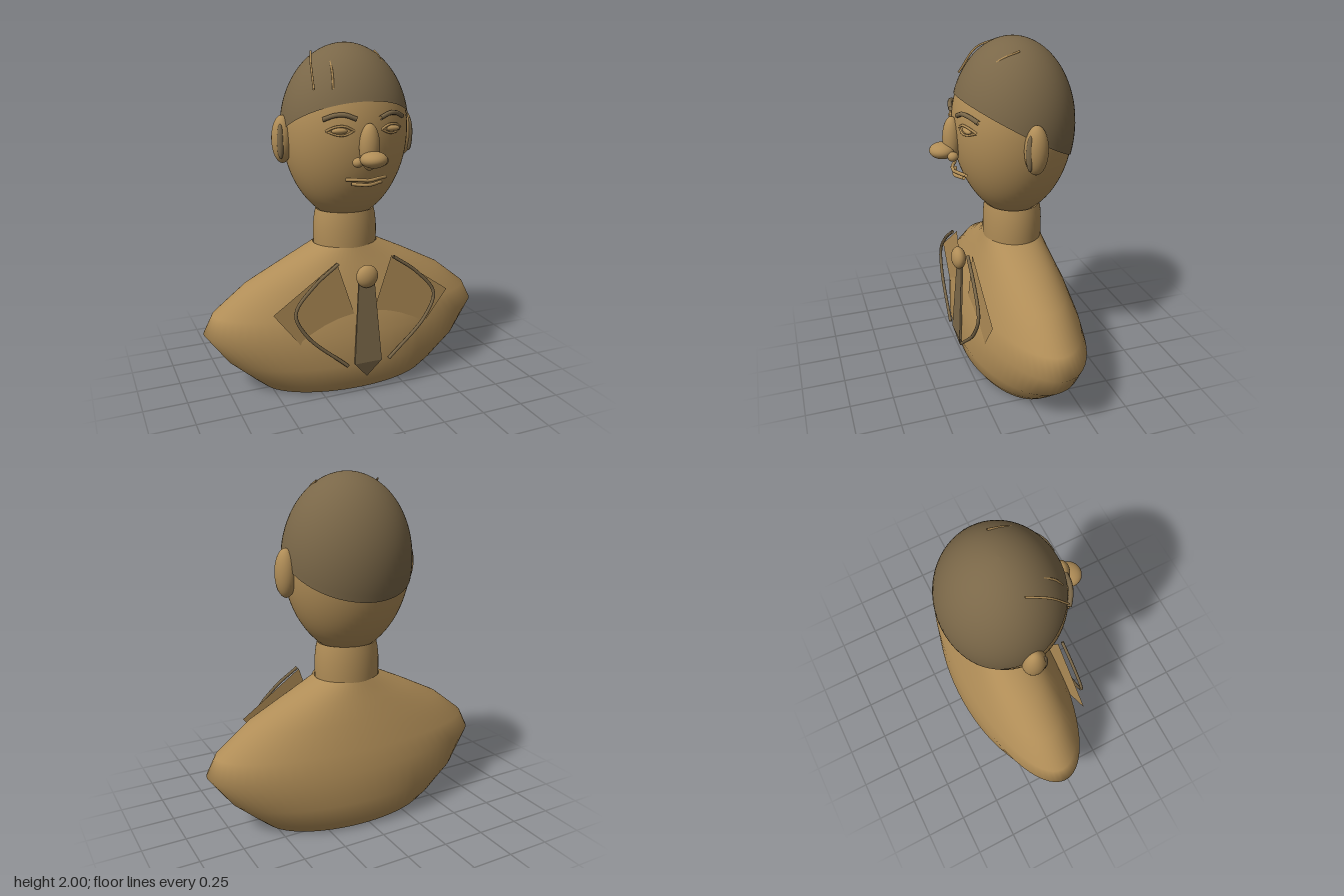
import * as THREE from 'three';

const bronze = new THREE.MeshStandardMaterial({ color: 0xb08d57 });
bronze.name = 'bronze';
bronze.side = THREE.DoubleSide;
const darkBronze = new THREE.MeshStandardMaterial({ color: 0x7a6748 });
darkBronze.name = 'dark bronze';
darkBronze.side = THREE.DoubleSide;

const CZ = -0.063; // depth of the body's vertical axis

function add(group, name, geometry, material = bronze) {
  const mesh = new THREE.Mesh(geometry, material);
  mesh.name = name;
  group.add(mesh);
  return mesh;
}

// Closed skin around the y axis; point(angle, row) returns [x, y, z], rows run upwards
function skin(point, rows, segments = 64) {
  const positions = [], index = [];
  for (let i = 0; i <= rows; i++) {
    for (let j = 0; j < segments; j++) {
      positions.push(...point((j / segments) * Math.PI * 2, i));
      if (i === rows) continue;
      const k = (j + 1) % segments;
      const a = i * segments + j, b = i * segments + k;
      index.push(a, b, a + segments, b, b + segments, a + segments);
    }
  }
  const g = new THREE.BufferGeometry();
  g.setAttribute('position', new THREE.Float32BufferAttribute(positions, 3));
  g.setIndex(index);
  g.computeVertexNormals();
  return g;
}

// Stack of ellipses given as [y, half width, half depth]
const loft = (rings) => skin((a, i) => {
  const [y, rx, rz] = rings[i];
  return [rx * Math.sin(a), y, CZ + rz * Math.cos(a)];
}, rings.length - 1);

function ellipsoid(group, name, center, radii, material) {
  const mesh = add(group, name, new THREE.SphereGeometry(1, 32, 20), material);
  mesh.position.set(...center);
  mesh.scale.set(...radii);
  return mesh;
}

function tube(group, name, points, radius, material) {
  const curve = new THREE.CatmullRomCurve3(points.map((p) => new THREE.Vector3(...p)));
  add(group, name, new THREE.TubeGeometry(curve, 32, radius, 8), material);
}

// Egg-shaped skull: half width at height y
function headRadius(y) {
  const t = y > 1.52 ? (y - 1.52) / 0.473 : (1.52 - y) / 0.54;
  return 0.367 * Math.pow(Math.max(0, 1 - t * t), y > 1.52 ? 0.5 : 0.55);
}

function buildHead(group) {
  const rings = [];
  for (let i = 0; i <= 40; i++) {
    const s = -Math.cos((i / 40) * Math.PI);
    const y = 1.52 + s * (s > 0 ? 0.473 : 0.54);
    const r = headRadius(y);
    rings.push([y, r, r * 0.93]);
  }
  add(group, 'head', loft(rings));

  // Hair cap, cut along a plane that falls towards the back
  const hair = skin((a, i) => {
    let rim = 1.55;
    for (let n = 0; n < 12; n++) rim = 1.553 + 0.567 * (CZ + 0.93 * headRadius(rim) * Math.cos(a));
    const y = rim + (1.993 - rim) * Math.sin((i / 28) * Math.PI / 2);
    const r = headRadius(y) * 1.02;
    return [r * Math.sin(a), y + 0.007 * (i / 28), CZ + 0.93 * r * Math.cos(a)];
  }, 28);
  add(group, 'hair', hair, darkBronze);

  // Loose hair strands
  [
    [[-0.21, 1.95, -0.04], [-0.25, 1.9, 0.07], [-0.27, 1.76, 0.17]],
    [[-0.145, 1.9, 0.09], [-0.157, 1.84, 0.15], [-0.168, 1.76, 0.19]],
    [[0.175, 1.95, -0.04], [0.165, 1.91, 0.06], [0.135, 1.82, 0.165]],
  ].forEach((p) => tube(group, 'hairStrand', p, 0.006));

  // Nose
  ellipsoid(group, 'noseBridge', [0, 1.457, 0.29], [0.057, 0.128, 0.052]);
  ellipsoid(group, 'noseTip', [0, 1.397, 0.345], [0.075, 0.045, 0.073]);

  // Lips
  tube(group, 'upperLip', [[-0.12, 1.278, 0.245], [-0.05, 1.278, 0.278], [0, 1.273, 0.285],
    [0.05, 1.278, 0.278], [0.12, 1.278, 0.245]], 0.01);
  tube(group, 'lowerLip', [[-0.09, 1.253, 0.25], [0, 1.247, 0.28], [0.09, 1.253, 0.25]], 0.01);

  for (const s of [-1, 1]) {
    ellipsoid(group, 'nostril', [s * 0.075, 1.38, 0.305], [0.029, 0.027, 0.03]);
    ellipsoid(group, 'ear', [s * 0.377, 1.473, -0.065], [0.06, 0.135, 0.065]);
    ellipsoid(group, 'innerEar', [s * 0.4, 1.465, -0.022], [0.02, 0.098, 0.022], darkBronze);

    // Eyes, lids and brows
    ellipsoid(group, 'eyeball', [s * 0.15, 1.545, 0.243], [0.052, 0.018, 0.022]);
    tube(group, 'upperEyelid', [[s * 0.22, 1.543, 0.21], [s * 0.18, 1.567, 0.245],
      [s * 0.13, 1.569, 0.262], [s * 0.08, 1.545, 0.267]], 0.007);
    tube(group, 'lowerEyelid', [[s * 0.22, 1.543, 0.21], [s * 0.17, 1.524, 0.25],
      [s * 0.13, 1.524, 0.264], [s * 0.08, 1.545, 0.267]], 0.006);
    tube(group, 'eyebrow', [[s * 0.235, 1.605, 0.205], [s * 0.18, 1.628, 0.242],
      [s * 0.13, 1.63, 0.262], [s * 0.07, 1.608, 0.275]], 0.013, darkBronze);
  }
}

function buildBust(group) {
  // Open-bottomed torso and neck
  add(group, 'torso', loft([
    [0, 0.53, 0.275], [0.06, 0.6, 0.314], [0.19, 0.745, 0.352], [0.37, 0.875, 0.328],
    [0.48, 0.82, 0.298], [0.63, 0.63, 0.25], [0.75, 0.395, 0.202], [0.845, 0.195, 0.167],
  ]));
  add(group, 'neck', loft([
    [0.82, 0.188, 0.168], [0.88, 0.192, 0.171], [0.95, 0.191, 0.17], [1.01, 0.184, 0.166], [1.05, 0.175, 0.16],
  ]));

  // Flat lapels with a raised edge
  for (const s of [-1, 1]) {
    const outline = [[0.17, 0.81], [0.545, 0.55], [0.385, 0.34], [0.13, 0.2], [0.06, 0.48]];
    const shape = new THREE.Shape(outline.map(([x, y]) => new THREE.Vector2(s * x, y)));
    add(group, 'lapel', new THREE.ShapeGeometry(shape)).position.z = 0.232;
    tube(group, 'lapelEdge', [[s * 0.17, 0.81, 0.26], [s * 0.32, 0.7, 0.268], [s * 0.43, 0.56, 0.277],
      [s * 0.37, 0.42, 0.287], [s * 0.13, 0.2, 0.3]], 0.01, darkBronze);
  }

  // Tie blade leaning out over the chest, with its knot
  const blade = new THREE.Shape([[-0.085, 0.2], [0, 0.1], [0.085, 0.2], [0.048, 0.69], [-0.048, 0.69]]
    .map(([x, y]) => new THREE.Vector2(x, y)));
  const tie = new THREE.ExtrudeGeometry(blade, { depth: 0.012, bevelEnabled: false });
  const p = tie.attributes.position;
  for (let i = 0; i < p.count; i++) {
    const y = p.getY(i);
    p.setZ(i, p.getZ(i) + (y < 0.15 ? 0.264 : 0.255 + (0.69 - y) * 0.067));
  }
  tie.computeVertexNormals();
  add(group, 'tie', tie, darkBronze);
  ellipsoid(group, 'tieKnot', [0, 0.717, 0.27], [0.065, 0.067, 0.042]);
}

export function createModel() {
  const model = new THREE.Group();
  model.name = 'bust';
  buildBust(model);
  buildHead(model);
  return model;
}
